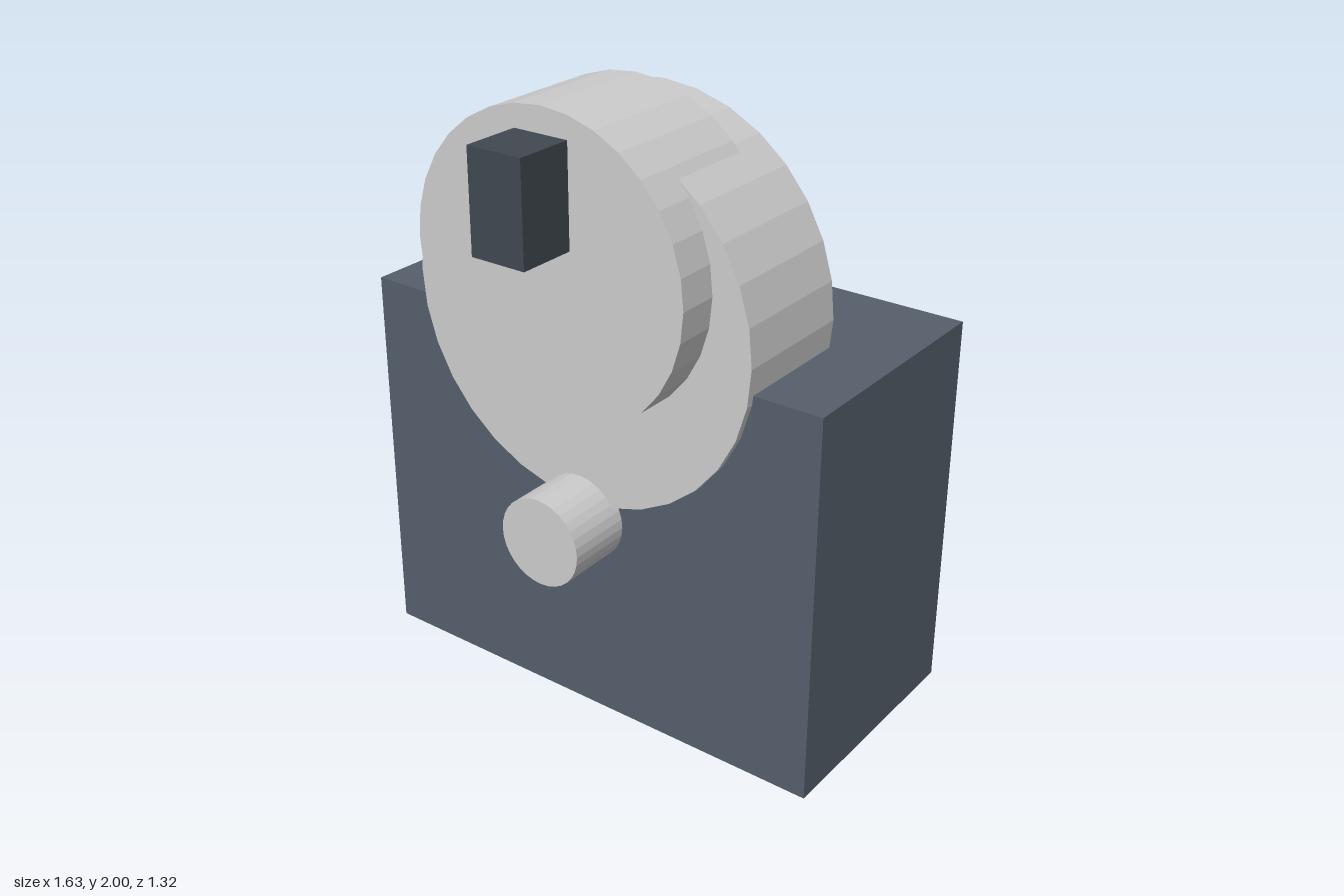
import * as THREE from 'three';

const grey = new THREE.MeshStandardMaterial({ color: 0xcccccc, flatShading: true });
const slate = new THREE.MeshStandardMaterial({ color: 0x555f6b, flatShading: true });
const dark = new THREE.MeshStandardMaterial({ color: 0x404850, flatShading: true });

export function createModel() {
  const model = new THREE.Group();
  model.name = 'camMechanism';

  const add = (name, geometry, material, y, z) => {
    const mesh = new THREE.Mesh(geometry, material);
    mesh.name = name;
    mesh.position.set(0, y, z);
    model.add(mesh);
  };

  // Round part lying along z, from z0 (back) to z1 (front)
  const disc = (name, radius, y, z0, z1) =>
    add(name, new THREE.CylinderGeometry(radius, radius, z1 - z0, 32).rotateX(Math.PI / 2),
      grey, y, (z0 + z1) / 2);

  // Block centred on x, spanning y0..y1 and z0..z1
  const block = (name, width, y0, y1, z0, z1, material) =>
    add(name, new THREE.BoxGeometry(width, y1 - y0, z1 - z0),
      material, (y0 + y1) / 2, (z0 + z1) / 2);

  block('housing', 1.63, 0, 1.262, -0.475, 0.315, slate);
  disc('shaft', 0.143, 0.688, -0.66, 0.53);

  // Two overlapping discs, the smaller one set higher and further forward
  disc('largeDisc', 0.603, 1.35, -0.078, 0.34);
  disc('smallDisc', 0.472, 1.528, 0.055, 0.472);

  block('frontPeg', 0.184, 1.61, 1.922, 0.4, 0.66, dark);

  return model;
}
